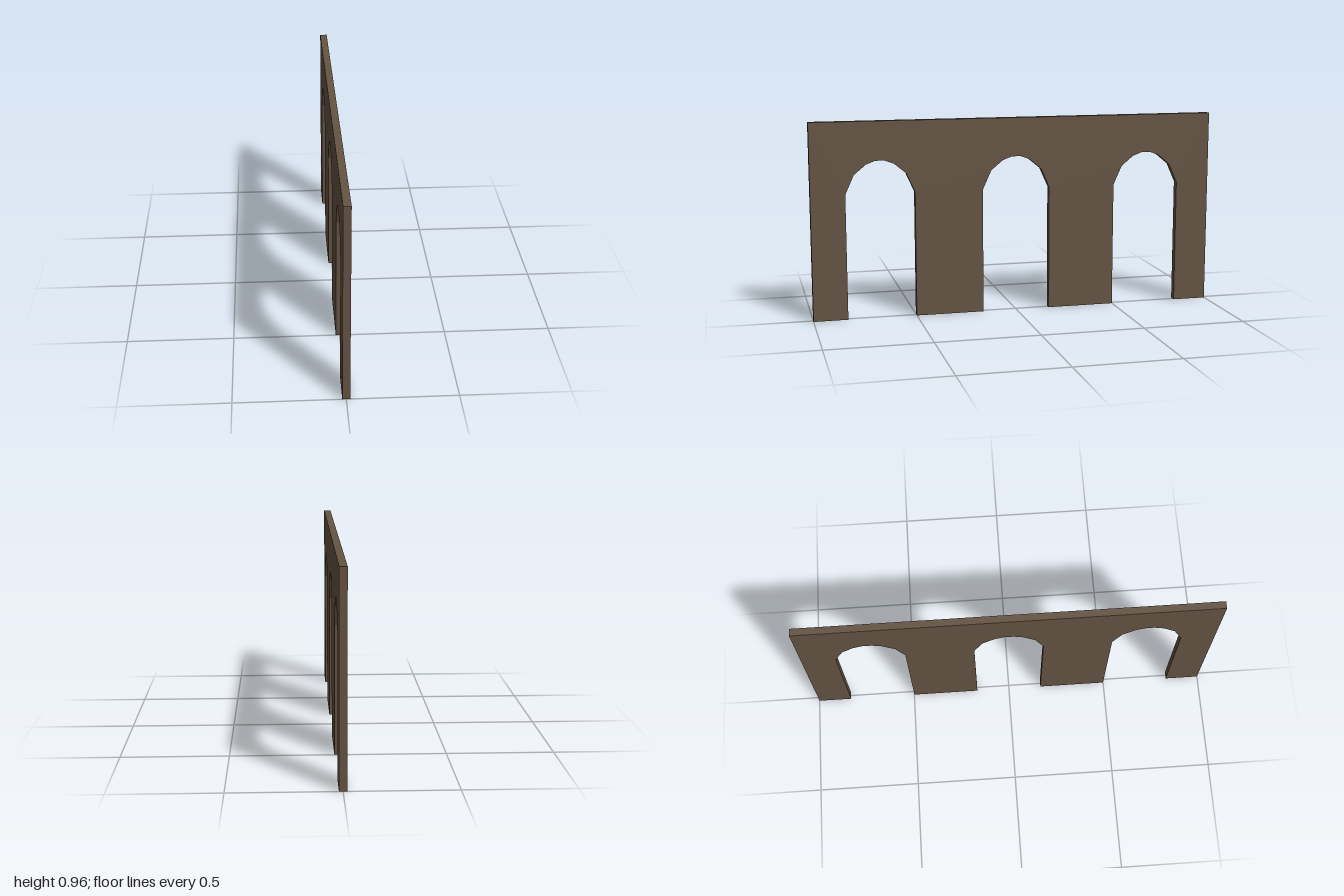
import * as THREE from 'three';

const LENGTH = 2, HEIGHT = 0.957, THICKNESS = 0.035;
const ARCH_SPACING = 2 / 3;

// Right half of one arch opening, from floor to crown: [offset, height]
const HALF_ARCH = [[0.167, 0], [0.167, 0.61], [0.125, 0.703], [0.067, 0.751], [0.022, 0.768]];

export function createModel() {
  const group = new THREE.Group();
  group.name = 'arcadeWall';
  const stone = new THREE.MeshStandardMaterial({ color: 0x655443 });
  stone.name = 'brown stone';

  // Wall outline: along the floor, stepping up through each arch, then over the top
  const outline = [[-LENGTH / 2, 0]];
  const leftHalf = HALF_ARCH.map(([u, y]) => [-u, y]);
  const rightHalf = [...HALF_ARCH].reverse();
  for (const i of [-1, 0, 1]) {
    for (const [u, y] of [...leftHalf, ...rightHalf]) outline.push([i * ARCH_SPACING + u, y]);
  }
  outline.push([LENGTH / 2, 0], [LENGTH / 2, HEIGHT], [-LENGTH / 2, HEIGHT]);

  // Extrude through the thickness and turn the wall to run along z
  const shape = new THREE.Shape(outline.map(([u, y]) => new THREE.Vector2(u, y)));
  const geometry = new THREE.ExtrudeGeometry(shape, { depth: THICKNESS, bevelEnabled: false });
  geometry.translate(0, 0, -THICKNESS / 2);
  geometry.rotateY(-Math.PI / 2);

  const wall = new THREE.Mesh(geometry, stone);
  wall.name = 'archedWall';
  group.add(wall);
  return group;
}
